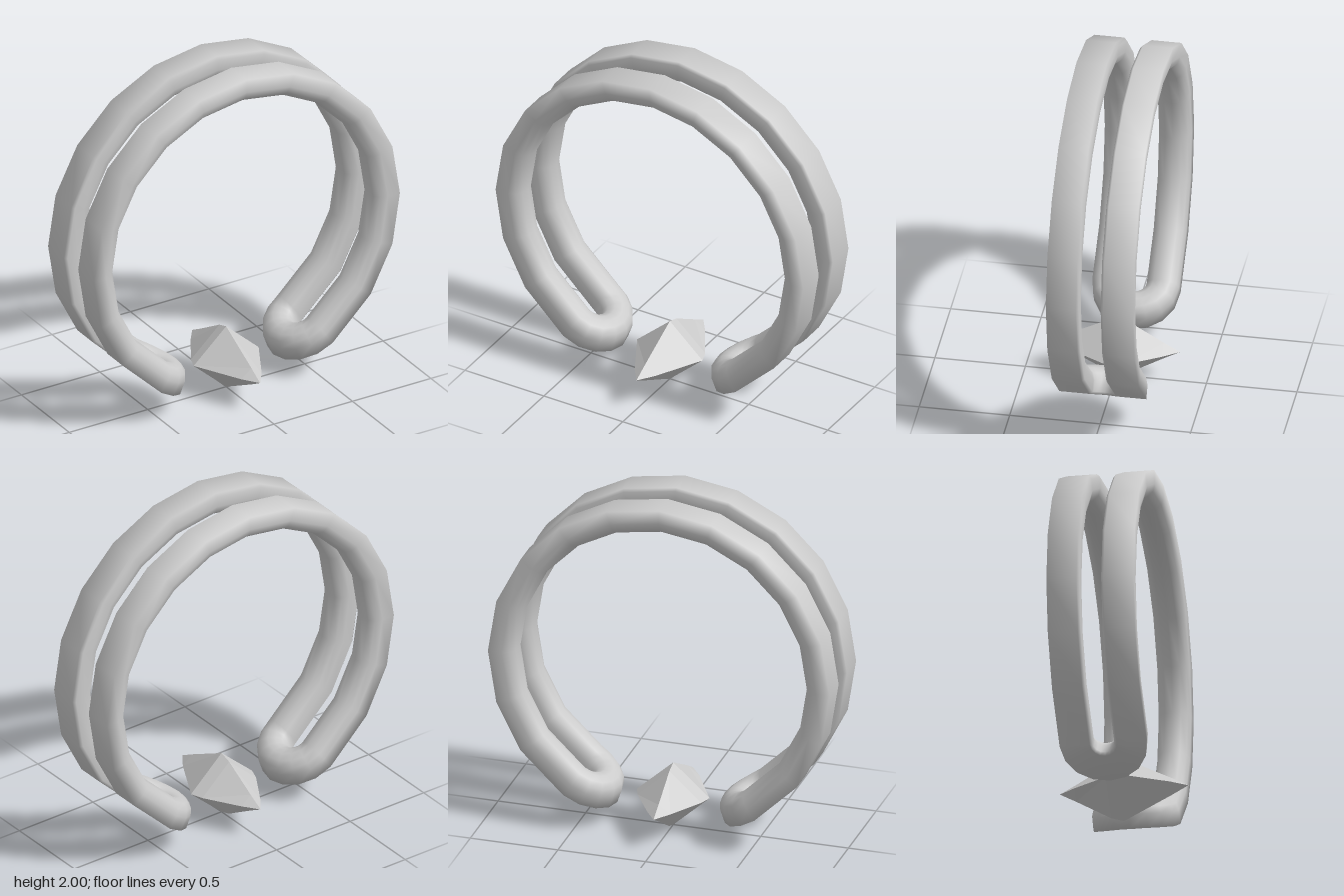
import * as THREE from 'three';

const RAD = Math.PI / 180;
const RING_R = 0.8975, CENTRE_Y = 1.025, MID_Z = -0.0225, TURN_R = 0.15, END = 146;

// Skin a closed or open row of cross-sections, each an array of [x, y, z]
function loft(sections, closed) {
  const n = sections[0].length, m = sections.length, index = [];
  for (let j = 0; j < (closed ? m : m - 1); j++) {
    for (let i = 0; i < n; i++) {
      const a = j * n + i, b = j * n + (i + 1) % n;
      const c = ((j + 1) % m) * n + i, d = ((j + 1) % m) * n + (i + 1) % n;
      index.push(a, b, c, b, d, c);
    }
  }
  const geo = new THREE.BufferGeometry();
  geo.setAttribute('position', new THREE.Float32BufferAttribute(sections.flat(2), 3));
  geo.setIndex(index);
  geo.computeVertexNormals();
  return geo;
}

// Double band: one endless D-shaped tube, two hoops joined by a U-turn at each end
function bandGeometry() {
  // [radial, sideways]: flat outside, rounded inside, small bevel towards the gap
  const profile = [
    [0.0775, -0.075], [0.0775, 0.09], [0, 0.09], [-0.04, 0.077], [-0.066, 0.045],
    [-0.0775, 0], [-0.066, -0.045], [-0.04, -0.077], [0, -0.09], [0.062, -0.09],
  ];
  // Stations: hoop angle from the top, and heading around the U-turn
  const hoop = [-END];
  for (let a = -126; a <= 126; a += 18) hoop.push(a);
  hoop.push(END);
  const stations = hoop.map(a => [a, 0]);
  for (let t = 22.5; t < 180; t += 22.5) stations.push([END, t]);
  for (const a of [...hoop].reverse()) stations.push([a, 180]);
  for (let t = 202.5; t < 360; t += 22.5) stations.push([-END, t]);

  return loft(stations.map(([angle, turn]) => profile.map(([u, w]) => {
    const a = angle * RAD + (TURN_R + w) * Math.sin(turn * RAD) / RING_R;
    const r = RING_R + u;
    return [r * Math.sin(a), CENTRE_Y + r * Math.cos(a), MID_Z + (TURN_R + w) * Math.cos(turn * RAD)];
  })), true);
}

// Gem: diamond-shaped sections tapering to a point at front and back
function gemGeometry() {
  const rows = [ // z, half width, half height
    [-0.355, 0, 0], [-0.265, 0.065, 0.05], [-0.07, 0.182, 0.165],
    [0, 0.207, 0.187], [0.265, 0.065, 0.05], [0.355, 0, 0],
  ];
  return loft(rows.map(([z, w, h]) =>
    [[w, 0, z], [0, h, z], [-w, 0, z], [0, -h, z]]), false);
}

export function createModel() {
  const group = new THREE.Group();

  const band = new THREE.Mesh(bandGeometry(), new THREE.MeshStandardMaterial({ color: 0xcccccc }));
  band.name = 'doubleBand';

  const gem = new THREE.Mesh(gemGeometry(), new THREE.MeshStandardMaterial({ color: 0xcccccc, flatShading: true }));
  gem.name = 'gem';
  gem.position.y = 0.187;

  group.add(band, gem);
  return group;
}
